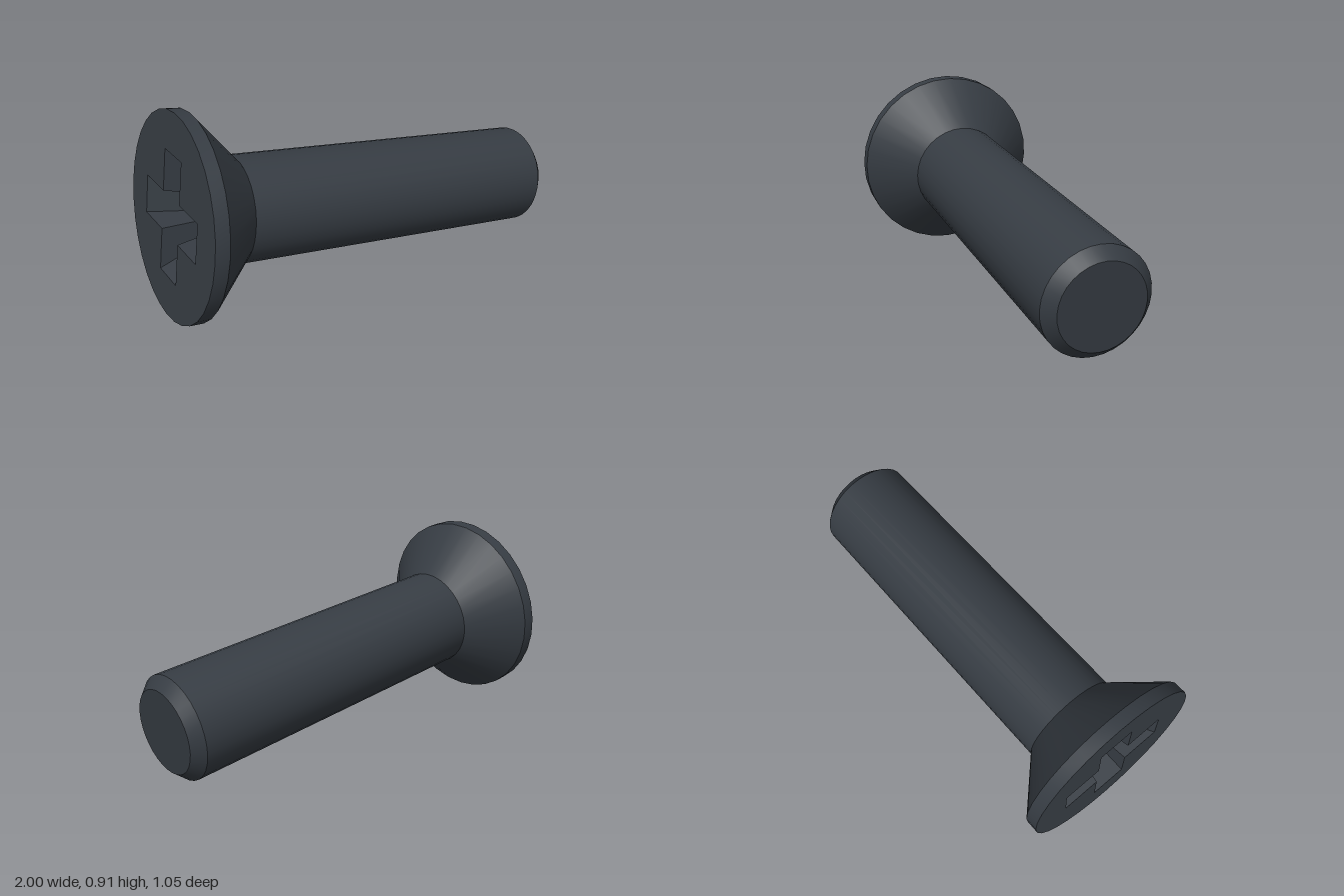
import * as THREE from 'three';
import { toCreasedNormals } from 'three/addons/utils/BufferGeometryUtils.js';

const SIDES = 32;
const HEAD_R = 0.453, SHAFT_R = 0.238, TIP_R = 0.19, LENGTH = 1.9;

// Plus-shaped outline, counter-clockwise: arm length l, half width w
function crossOutline(l, w) {
  const pts = [];
  for (let i = 0; i < 4; i++) {
    const c = new THREE.Vector2();
    for (const [x, y] of [[l, -w], [l, w], [w, w]]) {
      pts.push(new THREE.Vector2(x, y).rotateAround(c, i * Math.PI / 2));
    }
  }
  return pts;
}

// Sloping walls that join two outlines, facing inwards
function recessWalls(top, bottom, depth) {
  const pos = [];
  top.forEach((p0, i) => {
    const j = (i + 1) % top.length;
    const p1 = top[j], q0 = bottom[i], q1 = bottom[j];
    pos.push(p0.x, p0.y, 0, p1.x, p1.y, 0, q1.x, q1.y, -depth);
    pos.push(p0.x, p0.y, 0, q1.x, q1.y, -depth, q0.x, q0.y, -depth);
  });
  const g = new THREE.BufferGeometry();
  g.setAttribute('position', new THREE.Float32BufferAttribute(pos, 3));
  g.computeVertexNormals();
  return g;
}

export function createModel() {
  const steel = new THREE.MeshStandardMaterial({ color: 0x363c43 });
  steel.name = 'dark steel';

  const screw = new THREE.Group();
  screw.name = 'screw';
  const add = (name, geometry) => {
    const mesh = new THREE.Mesh(geometry, steel);
    mesh.name = name;
    screw.add(mesh);
  };
  const lathe = (profile) => toCreasedNormals(
    new THREE.LatheGeometry(profile.map(([r, y]) => new THREE.Vector2(r, y)), SIDES), 0.5);

  // Countersunk head: rim band and cone
  add('head', lathe([[HEAD_R, 0], [HEAD_R, 0.062], [SHAFT_R, 0.278]]));

  // Shaft with chamfered tip
  add('shaft', lathe([[SHAFT_R, 0.278], [SHAFT_R, LENGTH - 0.05], [TIP_R, LENGTH]]));
  add('tip', new THREE.CircleGeometry(TIP_R, SIDES, Math.PI / 2)
    .rotateX(-Math.PI / 2).translate(0, LENGTH, 0));

  // Head face with a cross-shaped opening
  const depth = 0.24;
  const outer = crossOutline(0.274, 0.087);
  const inner = crossOutline(0.13, 0.05);
  const disc = [];
  for (let i = 0; i < SIDES; i++) {
    const a = i / SIDES * Math.PI * 2;
    disc.push(new THREE.Vector2(HEAD_R * Math.cos(a), HEAD_R * Math.sin(a)));
  }
  const face = new THREE.Shape(disc);
  face.holes.push(new THREE.Path(outer));
  add('headFace', new THREE.ShapeGeometry(face).rotateX(Math.PI / 2));

  // Tapered drive recess
  add('recessWalls', recessWalls(outer, inner, depth).rotateX(Math.PI / 2));
  add('recessFloor', new THREE.ShapeGeometry(new THREE.Shape(inner))
    .translate(0, 0, -depth).rotateX(Math.PI / 2));

  // Lay the screw along its tilted axis
  const axis = new THREE.Vector3(1, -0.122, 0.21).normalize();
  const side = new THREE.Vector3().crossVectors(axis, new THREE.Vector3(0, 1, 0)).normalize();
  const up = new THREE.Vector3().crossVectors(side, axis);
  screw.quaternion.setFromRotationMatrix(new THREE.Matrix4().makeBasis(side, axis, up));
  screw.position.set(0.955, 0.231, 0.303).addScaledVector(axis, -LENGTH);

  const model = new THREE.Group();
  model.name = 'countersunkScrew';
  model.add(screw);
  return model;
}
